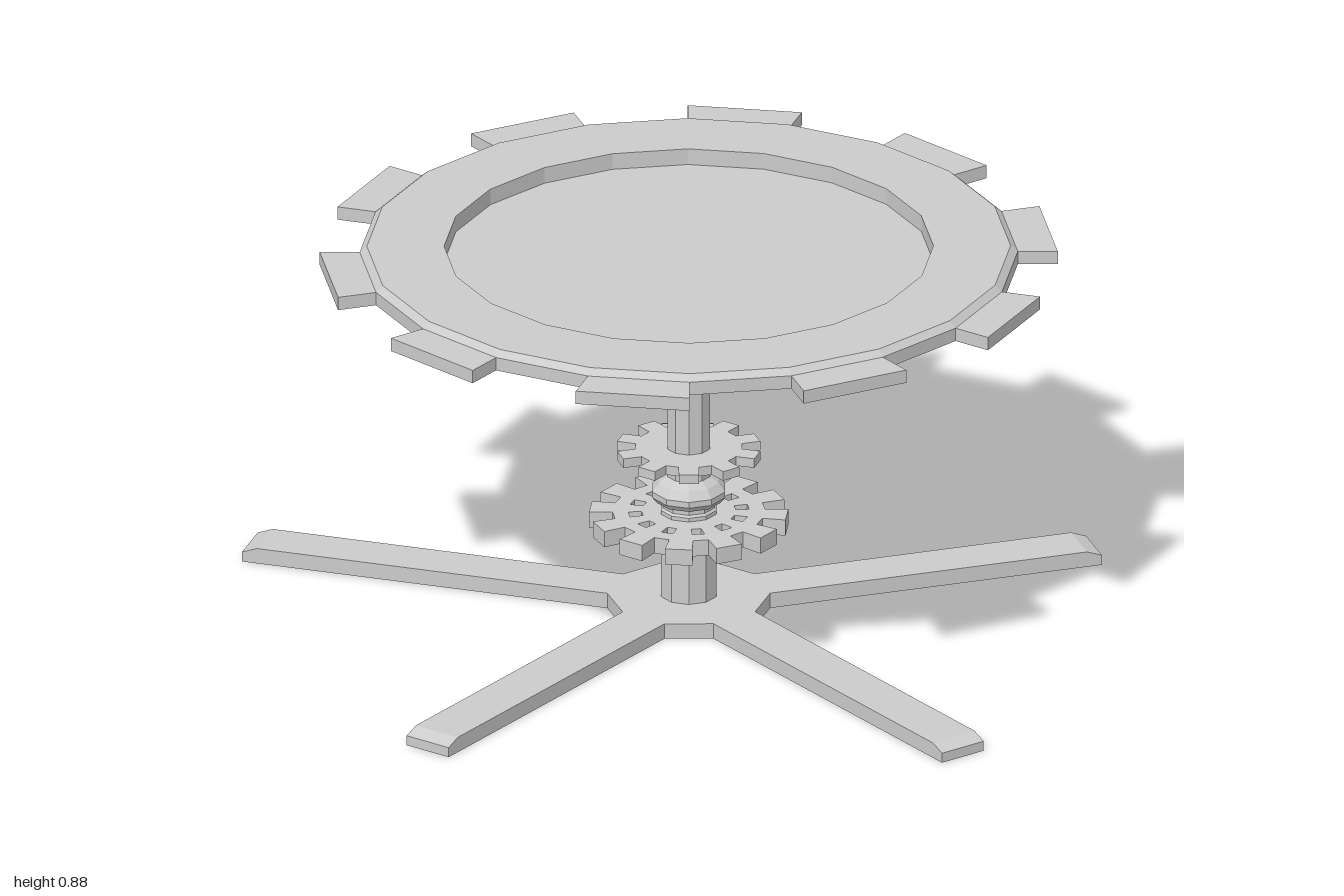
import * as THREE from 'three';

const mat = new THREE.MeshStandardMaterial({ color: 0xcccccc, flatShading: true });
const rad = THREE.MathUtils.degToRad;

// Plan point at an angle from the front (+z), for outlines extruded upward
const polar = (deg, r) => new THREE.Vector2(r * Math.sin(rad(deg)), -r * Math.cos(rad(deg)));

function add(parent, name, geometry) {
  const mesh = new THREE.Mesh(geometry, mat);
  mesh.name = name;
  parent.add(mesh);
  return mesh;
}

// Upright prism from a plan outline
function prism(points, y0, y1, holes = []) {
  const shape = new THREE.Shape(points);
  shape.holes = holes.map(h => new THREE.Path(h));
  const g = new THREE.ExtrudeGeometry(shape, { depth: y1 - y0, bevelEnabled: false });
  return g.rotateX(-Math.PI / 2).translate(0, y0, 0);
}

// Toothed outline: root half angle and tip half angle in degrees
function gearOutline(n, root, tip, halfRoot, halfTip, start = 0) {
  const pts = [];
  for (let i = 0; i < n; i++) {
    const a = start + (i * 360) / n;
    pts.push(polar(a - halfRoot, root), polar(a - halfTip, tip),
      polar(a + halfTip, tip), polar(a + halfRoot, root));
  }
  return pts;
}

function ring(n, r) {
  return Array.from({ length: n }, (_, i) => polar((-i * 360) / n, r));
}

function lathe(profile, sides) {
  return new THREE.LatheGeometry(profile.map(p => new THREE.Vector2(...p)), sides);
}

export function createModel() {
  const model = new THREE.Group();
  model.name = 'gearTable';
  const table = new THREE.Group();
  table.name = 'table';
  table.position.set(-0.005, 0, -0.083);
  model.add(table);

  // Five-legged base: hub with flats between the legs
  const halfWidth = 0.0575, hubReach = 0.172, baseTop = 0.036;
  const hubR = Math.hypot(hubReach, halfWidth);
  const hubA = THREE.MathUtils.radToDeg(Math.atan2(halfWidth, hubReach));
  const hub = [];
  for (let i = 0; i < 5; i++) hub.push(polar(i * 72 - hubA, hubR), polar(i * 72 + hubA, hubR));
  add(table, 'baseHub', prism(hub, 0, baseTop));

  // Legs with sloped tips, from front leg round by the left side
  [0.993, 1.035, 0.95, 0.985, 1.027].forEach((reach, i) => {
    const side = new THREE.Shape([
      [hubReach, 0], [reach, 0], [reach, 0.023], [reach - 0.035, baseTop], [hubReach, baseTop],
    ].map(p => new THREE.Vector2(...p)));
    const g = new THREE.ExtrudeGeometry(side, { depth: 2 * halfWidth, bevelEnabled: false });
    g.translate(0, 0, -halfWidth).rotateY(-Math.PI / 2);
    add(table, 'leg', g).rotation.y = rad(i * 72);
  });

  // Column with collars, turned as one profile
  add(table, 'column', lathe([
    [0.065, baseTop], [0.065, 0.245], [0.06, 0.25], [0.06, 0.262], [0.075, 0.265],
    [0.085, 0.278], [0.085, 0.292], [0.07, 0.312], [0.05, 0.325],
    [0.05, 0.567], [0.063, 0.57], [0.07, 0.578], [0.07, 0.587], [0.063, 0.596], [0.05, 0.6],
    [0.05, 0.797],
  ], 10));
  add(table, 'topCap', new THREE.CylinderGeometry(0.104, 0.104, 0.012, 16).translate(0, 0.799, 0));

  // Large gear with a ring of slots
  const slots = [];
  for (let i = 0; i < 12; i++) {
    const a = i * 30 + 15;
    slots.push([polar(a - 6, 0.105), polar(a - 6, 0.135), polar(a + 6, 0.135), polar(a + 6, 0.105)]);
  }
  add(table, 'largeGear', prism(gearOutline(12, 0.17, 0.222, 9, 8), 0.198, 0.236, slots));

  // Middle and upper gears
  add(table, 'middleGear', prism(gearOutline(10, 0.12, 0.162, 11, 8), 0.37, 0.392));
  add(table, 'upperGear', prism(gearOutline(8, 0.1, 0.142, 13, 10), 0.736, 0.76));

  // Table top: under-plate, toothed rim, dished top
  add(table, 'underPlate', lathe([[0, 0.804], [0.64, 0.804], [0.64, 0.833]], 20));
  add(table, 'toothedRim',
    prism(gearOutline(10, 0.733, 0.822, 9, 9, -9), 0.833, 0.864, [ring(20, 0.64)]));
  add(table, 'dishedTop', lathe([
    [0.733, 0.864], [0.717, 0.878], [0.545, 0.878], [0.545, 0.84], [0, 0.84],
  ], 20));

  return model;
}
